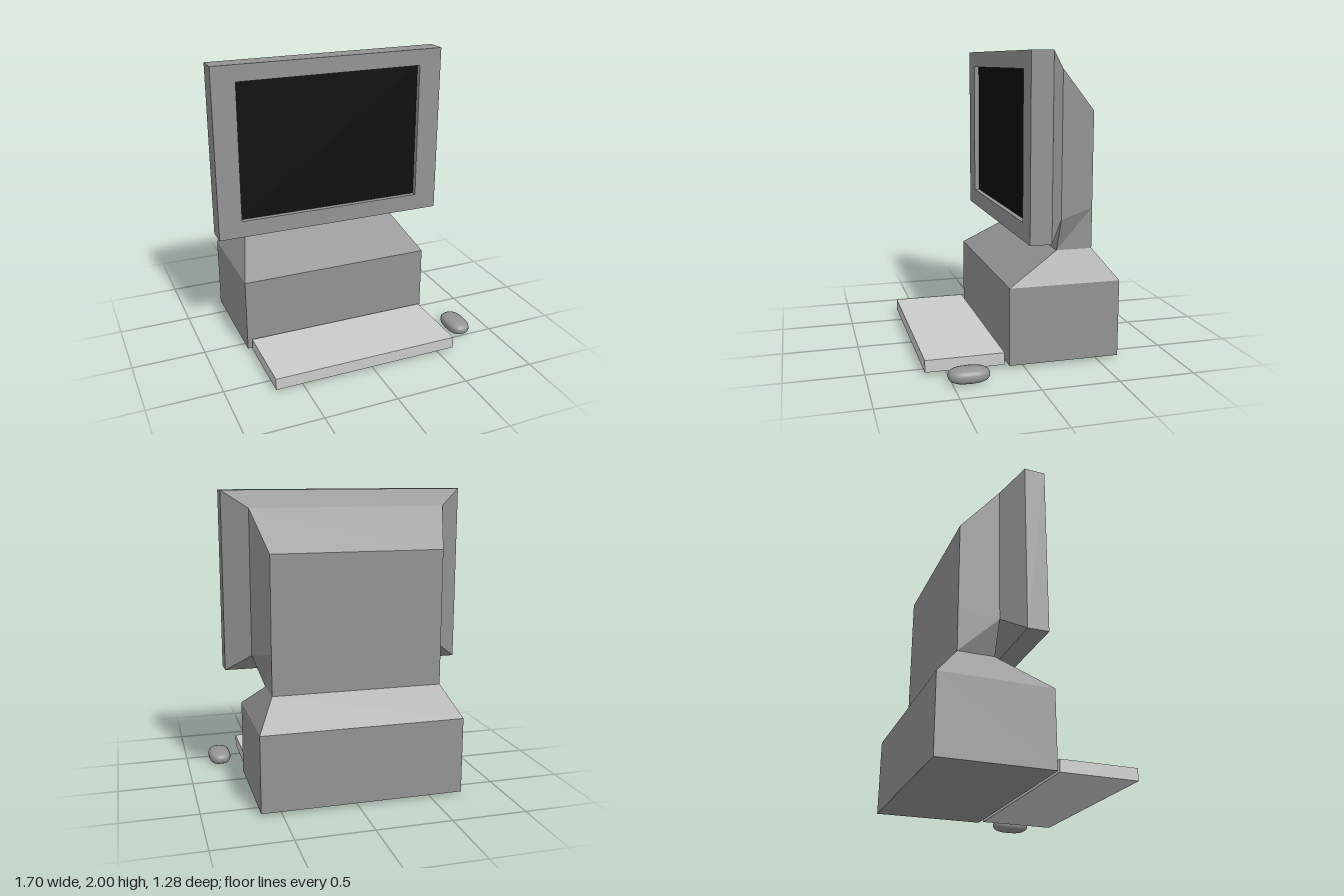
import * as THREE from 'three';

const CX = -0.04; // the computer sits slightly left of the mouse-side centre line

const material = (color) => new THREE.MeshStandardMaterial({ color, flatShading: true });

// Joins rings of equal count (counter-clockwise seen from the first ring's side).
function loft(rings, caps) {
  const pos = [];
  const tri = (...pts) => pts.forEach((p) => pos.push(...p));
  for (let r = 0; r + 1 < rings.length; r++) {
    const a = rings[r], b = rings[r + 1], n = a.length;
    for (let i = 0; i < n; i++) {
      const j = (i + 1) % n;
      tri(a[i], b[i], b[j]);
      tri(a[i], b[j], a[j]);
    }
  }
  if (caps) {
    const first = rings[0], last = rings[rings.length - 1];
    for (let i = 1; i + 1 < first.length; i++) {
      tri(first[0], first[i], first[i + 1]);
      tri(last[0], last[i + 1], last[i]);
    }
  }
  const g = new THREE.BufferGeometry();
  g.setAttribute('position', new THREE.Float32BufferAttribute(pos, 3));
  g.computeVertexNormals();
  return g;
}

// Upright rectangle of half width w at depth z
const upright = (w, y0, y1, z) =>
  [[CX - w, y0, z], [CX + w, y0, z], [CX + w, y1, z], [CX - w, y1, z]];

// Level rectangle of half width w at height y
const level = (w, z0, z1, y) =>
  [[CX - w, y, z1], [CX + w, y, z1], [CX + w, y, z0], [CX - w, y, z0]];

// Six-cornered housing section: straight upper sides, tapering neck below
const section = (wTop, wNeck, yTop, yMid, z) => [
  [CX - wNeck, 0.73, z], [CX + wNeck, 0.73, z], [CX + wTop, yMid, z],
  [CX + wTop, yTop, z], [CX - wTop, yTop, z], [CX - wTop, yMid, z],
];

// Pebble form: a sphere pushed out towards a box
function pebble(w, h, d, power) {
  const g = new THREE.SphereGeometry(1, 32, 20);
  const p = g.attributes.position;
  const v = new THREE.Vector3();
  for (let i = 0; i < p.count; i++) {
    v.fromBufferAttribute(p, i);
    const sum = Math.abs(v.x) ** power + Math.abs(v.y) ** power + Math.abs(v.z) ** power;
    v.divideScalar(sum ** (1 / power));
    p.setXYZ(i, v.x * w / 2, v.y * h / 2, v.z * d / 2);
  }
  g.computeVertexNormals();
  return g;
}

export function createModel() {
  const model = new THREE.Group();
  model.name = 'desktopComputer';
  const body = material(0x939393);

  const add = (name, geometry, mat, x = 0, y = 0, z = 0) => {
    const mesh = new THREE.Mesh(geometry, mat);
    mesh.name = name;
    mesh.position.set(x, y, z);
    model.add(mesh);
  };

  // Bezel: recess wall, front frame, outer edge and rear chamfer
  add('bezel', loft([
    upright(0.65, 0.945, 1.89, -0.025),
    upright(0.65, 0.945, 1.89, 0.01),
    upright(0.81, 0.83, 2, 0.01),
    upright(0.81, 0.83, 2, -0.13),
    upright(0.65, 0.945, 1.89, -0.245),
  ], false), body);

  // Recessed screen
  add('screen', new THREE.PlaneGeometry(1.3, 0.945), material(0x0c0c0c), CX, 1.4175, -0.025);

  // Sloped rear housing that runs down into the neck
  add('rearHousing', loft([
    section(0.65, 0.565, 1.89, 0.945, -0.245),
    section(0.565, 0.565, 1.625, 1.0, -0.485),
  ], true), body);

  // Base box with sloping shoulders
  add('base', loft([
    level(0.565, -0.485, -0.245, 0.73),
    level(0.675, -0.64, 0.1, 0.53),
    level(0.675, -0.64, 0.1, 0.02),
  ], true), body);

  // Keyboard slab
  add('keyboard', new THREE.BoxGeometry(1.3, 0.08, 0.515), material(0xcccccc), CX, 0.062, 0.3825);

  // Rounded mouse
  const mouseMaterial = new THREE.MeshStandardMaterial({ color: 0x939393 });
  add('mouse', pebble(0.155, 0.096, 0.26, 2.6), mouseMaterial, 0.768, 0.05, 0.395);

  return model;
}
